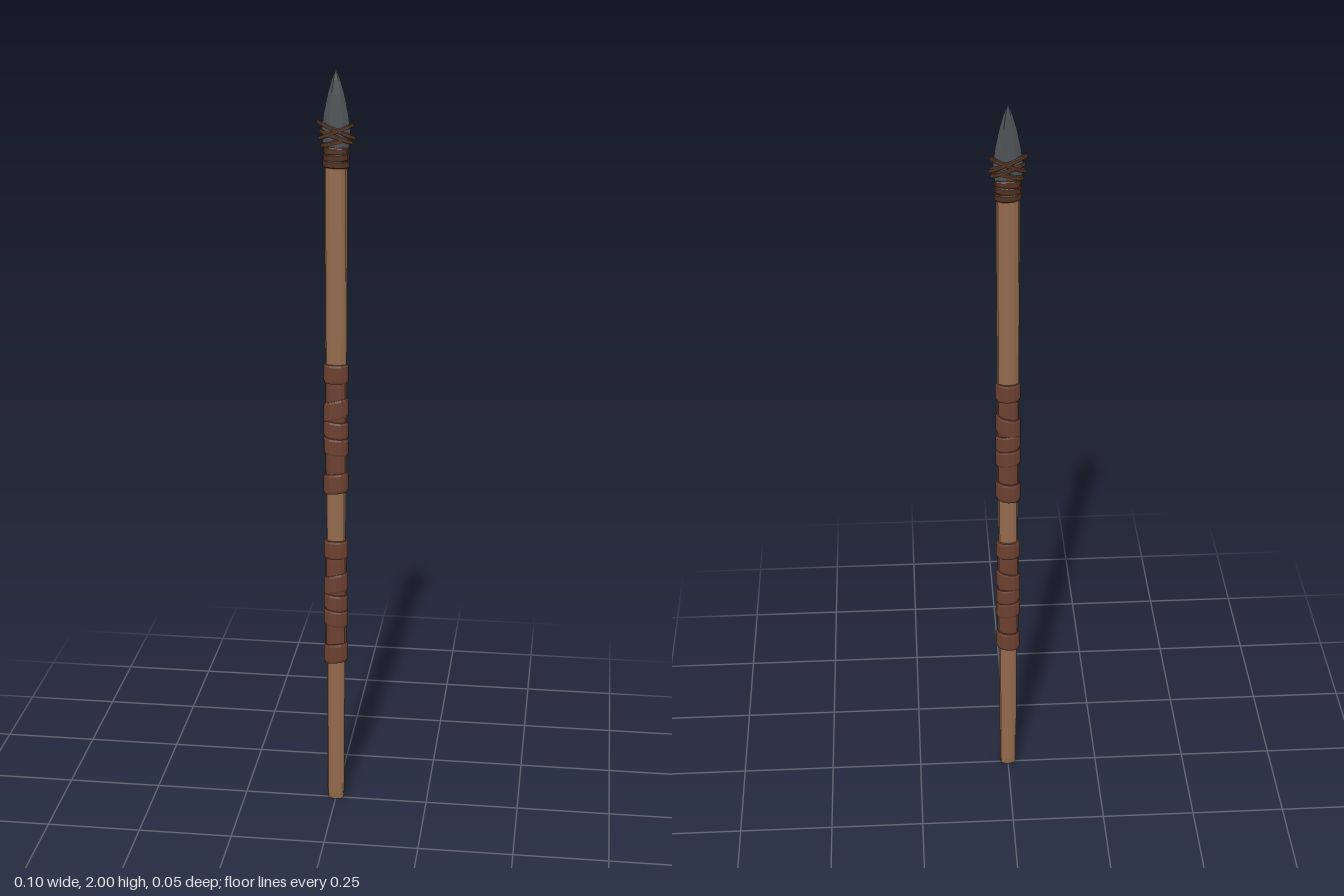
import * as THREE from 'three';

const mat = (color) => new THREE.MeshStandardMaterial({ color, flatShading: true });
const wood = mat(0x92694c);
const leather = mat(0x6b4030);
const cord = mat(0x50301f);
const stone = mat(0x4c5054);

// Lofted solid of elliptical rings: each ring is [rx, rz, y]; slope shears it along x.
function loft(name, rings, sides, material, slopeX = 0, slopeZ = 0) {
  const profile = rings.map(([, , y]) => new THREE.Vector2(1, y));
  profile.unshift(new THREE.Vector2(0, rings[0][2]));
  profile.push(new THREE.Vector2(0, rings[rings.length - 1][2]));
  const all = [rings[0], ...rings, rings[rings.length - 1]];
  const geo = new THREE.LatheGeometry(profile, sides, Math.PI / 2);
  const p = geo.attributes.position;
  for (let i = 0; i < p.count; i++) {
    const [rx, rz] = all[i % all.length];
    const x = p.getX(i) * rx, z = p.getZ(i) * rz;
    p.setXYZ(i, x, p.getY(i) + slopeX * x + slopeZ * z, z);
  }
  geo.computeVertexNormals();
  const mesh = new THREE.Mesh(geo, material);
  mesh.name = name;
  return mesh;
}

// Bevelled strap wound round the shaft.
function band(name, y, h, rx, rz, sides, material, slopeX = 0, slopeZ = 0) {
  const b = h * 0.38;
  const mesh = loft(name, [
    [rx * 0.92, rz * 0.92, -h / 2], [rx, rz, -b], [rx, rz, b], [rx * 0.92, rz * 0.92, h / 2],
  ], sides, material, slopeX, slopeZ);
  mesh.position.y = y;
  return mesh;
}

export function createModel() {
  const spear = new THREE.Group();
  spear.name = 'spear';

  // Flattened wooden shaft, pinched to a wedge under the head
  spear.add(loft('shaft', [
    [0.021, 0.011, 0], [0.023, 0.0125, 0.02], [0.025, 0.014, 0.6], [0.027, 0.015, 1.1],
    [0.029, 0.0165, 1.6], [0.029, 0.0165, 1.76], [0.026, 0.008, 1.81],
  ], 12, wood));

  // Two leather grips: an under-sleeve with five overlapping straps
  const straps = [[0, 0.05, 0], [-0.1, 0.052, 0.25], [-0.151, 0.045, -0.1], [-0.197, 0.045, -0.08], [-0.3, 0.054, 0.12]];
  for (const [name, top] of [['upperGrip', 1.225], ['lowerGrip', 0.74]]) {
    const grip = new THREE.Group();
    grip.name = name;
    grip.add(band('sleeve', top - 0.15, 0.3, 0.0285, 0.0165, 12, leather));
    straps.forEach(([dy, h, s], i) =>
      grip.add(band('strap', top + dy, h, 0.0325, i % 2 ? 0.0215 : 0.0225, 12, leather, s, s * 0.6)));
    spear.add(grip);
  }

  // Stone blade with bevelled edges
  spear.add(loft('blade', [
    [0.026, 0.007, 1.77], [0.034, 0.009, 1.82], [0.036, 0.009, 1.85], [0.031, 0.008, 1.89],
    [0.021, 0.007, 1.94], [0.011, 0.005, 1.975], [0.001, 0.001, 2],
  ], 6, stone));

  // Stacked collar binding, flattening toward the blade
  const collar = new THREE.Group();
  collar.name = 'collarBinding';
  [[1.768, 0.034, 0.025], [1.784, 0.034, 0.021], [1.8, 0.033, 0.015]].forEach(([y, rx, rz], i) =>
    collar.add(band('collarCord', y, 0.018, rx, rz, 12, cord, i === 1 ? 0.06 : -0.04)));
  spear.add(collar);

  // Crossed cords lashing the blade
  const lashing = new THREE.Group();
  lashing.name = 'headLashing';
  [[1.822, 0.25], [1.835, -0.35], [1.848, 0.4], [1.852, -0.42]].forEach(([y, s], i) =>
    lashing.add(band('crossCord', y, 0.011, 0.039 + 0.003 * i, 0.0125, 8, cord, s)));
  spear.add(lashing);

  return spear;
}
